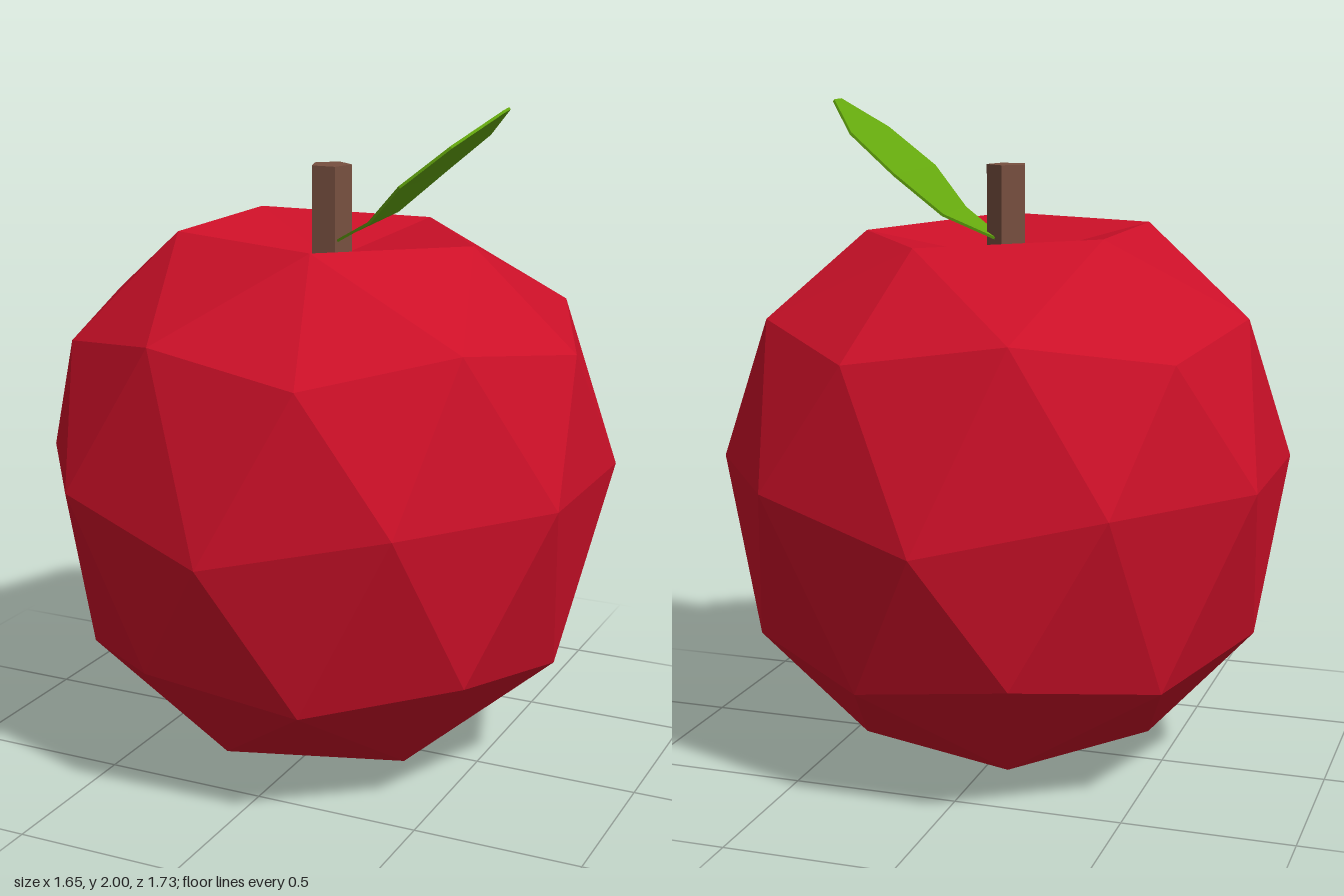
import * as THREE from 'three';

const flat = (color) => new THREE.MeshStandardMaterial({ color, flatShading: true });

function add(group, name, geometry, material) {
  geometry.computeVertexNormals();
  const mesh = new THREE.Mesh(geometry, material);
  mesh.name = name;
  group.add(mesh);
}

// Move every vertex of a geometry by a rule
function reshape(geometry, rule) {
  const pos = geometry.attributes.position;
  const v = new THREE.Vector3();
  for (let i = 0; i < pos.count; i++) {
    rule(v.fromBufferAttribute(pos, i));
    pos.setXYZ(i, v.x, v.y, v.z);
  }
  return geometry;
}

// Fruit: icosphere standing on a corner, lower half stretched, crown dented
function fruitGeometry() {
  const r = 0.865;
  const g = new THREE.IcosahedronGeometry(r, 1);
  g.rotateZ(-Math.atan(2 / (1 + Math.sqrt(5))));
  return reshape(g, (v) => {
    const frontOrBackOfEquator = Math.abs(v.y) < 0.02 && Math.abs(v.x) < 0.05;
    if (v.y > 0.84) v.y = 0.6;                                          // pit
    else if (v.y > 0.7) v.y = v.x > 0 && v.z < 0.2 ? 0.675 : 0.7;       // rim
    else if (v.y < -0.84) { v.y = -0.93; v.z += 0.1; }                  // lowest point
    else if (v.y < -0.02 || frontOrBackOfEquator) v.y -= 0.105;         // lower half
    v.y += 0.93;
  });
}

// Leaf: thin box bent through cross-sections [x, y, half width]
function leafGeometry() {
  const sections = [
    [0.03, 1.595, 0.04], [0.17, 1.67, 0.125], [0.295, 1.79, 0.195],
    [0.44, 1.907, 0.172], [0.545, 1.997, 0.046],
  ];
  const g = new THREE.BoxGeometry(4, 0.008, 2, 4, 1, 1);
  return reshape(g, (v) => {
    const [x, y, half] = sections[Math.round(v.x + 2)];
    v.set(x + v.z * 0.008 - v.y * 0.6, y + v.y * 0.8, v.z * half);
  });
}

export function createModel() {
  const group = new THREE.Group();
  group.name = 'apple';

  add(group, 'fruit', fruitGeometry(), flat(0xcc1028));

  // Five-sided stem rising from the pit
  const stem = new THREE.CylinderGeometry(0.063, 0.063, 0.315, 5);
  stem.rotateY(Math.PI);
  stem.translate(0, 1.6575, 0);
  add(group, 'stem', stem, flat(0x785040));

  add(group, 'leaf', leafGeometry(), flat(0x66aa0e));

  return group;
}
